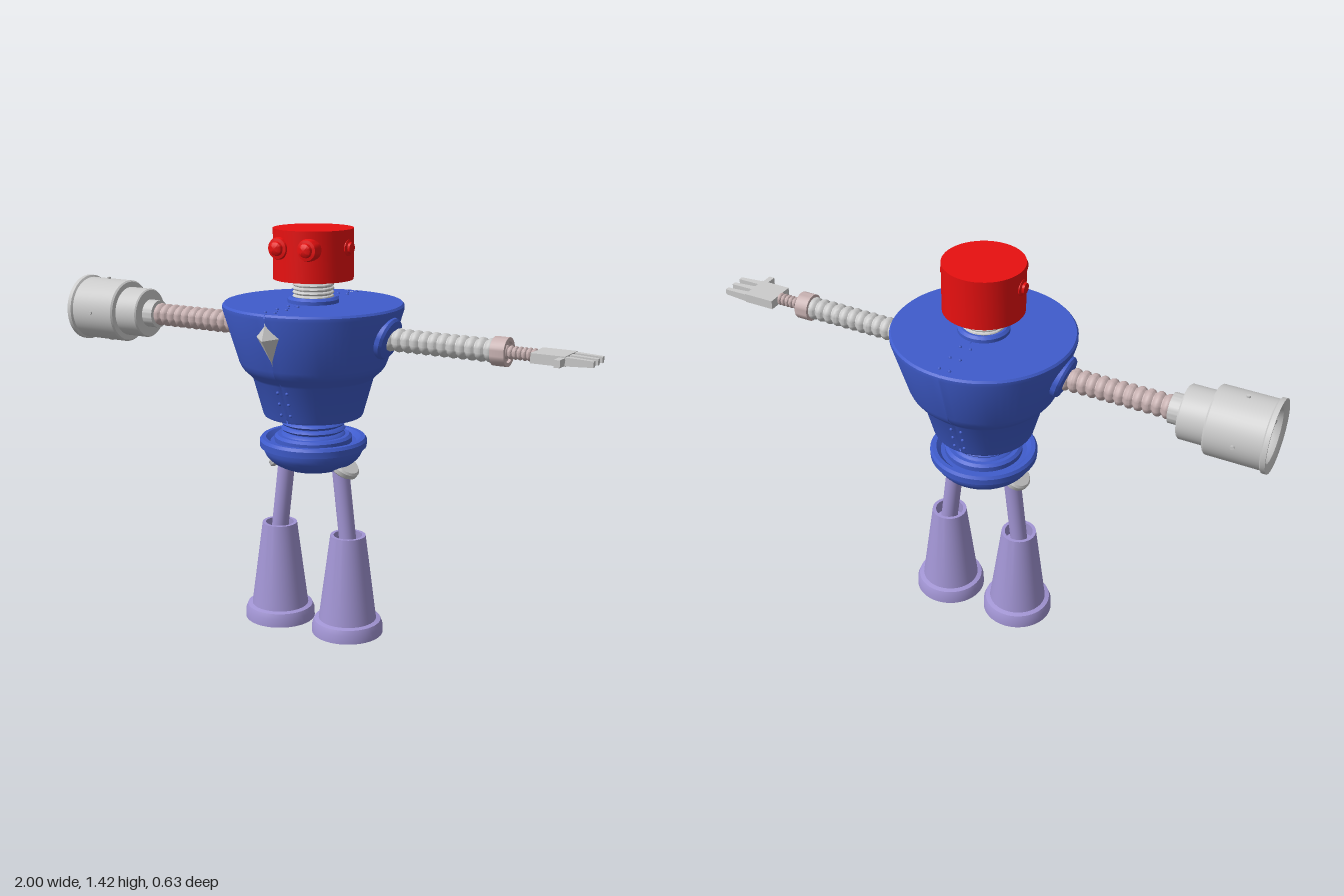
import * as THREE from 'three';
import { toCreasedNormals } from 'three/addons/utils/BufferGeometryUtils.js';

const mat = (color, side = THREE.FrontSide) => new THREE.MeshStandardMaterial({ color, side });
const BLUE = mat(0x3f5ccc), RED = mat(0xe81010), PURPLE = mat(0xa295d4);
const PINK = mat(0xc8b2b2), GREY = mat(0xcccccc);

function add(parent, name, geometry, material, x = 0, y = 0, z = 0) {
  const mesh = new THREE.Mesh(geometry, material);
  mesh.name = name;
  mesh.position.set(x, y, z);
  parent.add(mesh);
  return mesh;
}

// Turned part: [radius, height] pairs, bottom to top on the outside
function turned(profile, segments = 48, start = 0, length = Math.PI * 2) {
  const pts = profile.map(([r, y]) => new THREE.Vector2(r, y));
  return toCreasedNormals(new THREE.LatheGeometry(pts, segments, start, length), 0.6);
}

// Bellows tube from y0 to y1
function ribbed(r, depth, y0, y1, count) {
  const p = [[0, y0]], step = (y1 - y0) / count;
  for (let i = 0; i < count; i++) {
    const y = y0 + i * step;
    p.push([r - depth, y], [r - depth * 0.25, y + step * 0.2], [r, y + step * 0.45],
      [r - depth * 0.25, y + step * 0.7], [r - depth, y + step * 0.9]);
  }
  p.push([r - depth, y1], [0, y1]);
  return turned(p, 28);
}

function addHead(root) {
  const head = new THREE.Group();
  head.name = 'head';
  root.add(head);
  add(head, 'skull', turned([[0, 1.25], [0.136, 1.25], [0.136, 1.42], [0, 1.42]]), RED);
  const eye = turned([[0, 0], [0.037, 0], [0.037, 0.028], [0.034, 0.036], [0.024, 0.038],
    [0.022, 0.048], [0.013, 0.054], [0, 0.056]], 28);
  const ear = turned([[0, 0], [0.027, 0], [0.027, 0.015], [0.019, 0.019], [0.018, 0.027], [0, 0.031]], 28);
  for (const s of [-1, 1]) {
    add(head, 'eye', eye, RED, s * 0.056, 1.36, 0.104).rotation.x = Math.PI / 2;
    add(head, 'ear', ear, RED, s * 0.122, 1.36, 0).rotation.z = -s * Math.PI / 2;
  }
  add(root, 'neckBase', turned([[0, 1.16], [0.087, 1.16], [0.087, 1.182], [0.078, 1.19], [0, 1.19]]), BLUE);
  add(root, 'neck', ribbed(0.071, 0.008, 1.185, 1.252, 5), GREY);
}

function addTorso(root) {
  const torso = new THREE.Group();
  torso.name = 'torso';
  root.add(torso);
  const profile = [[0, 0.78], [0.168, 0.78], [0.172, 0.788], [0.206, 0.912], [0.212, 0.92],
    [0.236, 0.942], [0.246, 0.956], [0.253, 0.972], [0.307, 1.15], [0.307, 1.163], [0.301, 1.17], [0, 1.17]];
  // Two half shells with a narrow seam, closed by an inner core
  for (const s of [-1, 1]) {
    add(torso, 'shell', turned(profile, 36, s > 0 ? 0 : Math.PI, Math.PI), BLUE, s * 0.002, 0, 0);
  }
  const core = profile.map(([r, y]) => [Math.max(0, r - 0.008), 0.975 + (y - 0.975) * 0.96]);
  add(torso, 'core', turned(core), BLUE);

  // Rivets along the seam
  const rivet = new THREE.SphereGeometry(0.006, 8, 6);
  for (const sx of [-1, 1]) for (const sz of [-1, 1]) {
    for (const z of [0.13, 0.2, 0.27]) add(torso, 'rivet', rivet, BLUE, sx * 0.018, 1.17, sz * z);
    for (const y of [0.81, 0.85, 0.89]) {
      add(torso, 'rivet', rivet, BLUE, sx * 0.018, y, sz * (0.172 + (y - 0.788) * 0.274));
    }
  }

  // Faceted kite badge on the chest
  const rim = [[0, 1.145, 0.298], [-0.06, 1.095, 0.272], [0, 0.985, 0.25], [0.06, 1.095, 0.272]];
  const apex = [0, 1.085, 0.322], verts = [];
  rim.forEach((p, i) => verts.push(...p, ...rim[(i + 1) % 4], ...apex));
  const badge = new THREE.BufferGeometry();
  badge.setAttribute('position', new THREE.Float32BufferAttribute(verts, 3));
  badge.computeVertexNormals();
  add(torso, 'chestBadge', badge, mat(0xcccccc, THREE.DoubleSide));

  // Shoulder sockets lie flat on the sloping sides
  const socket = turned([[0, -0.03], [0.073, -0.03], [0.073, 0.012], [0.066, 0.02], [0.05, 0.024], [0, 0.024]]);
  for (const s of [-1, 1]) {
    add(torso, 'shoulder', socket, BLUE, s * 0.281, 1.073, 0).rotation.z = -s * (Math.PI / 2 + 0.29);
  }
}

function addPelvis(root) {
  add(root, 'waist', ribbed(0.112, 0.016, 0.7, 0.785, 4), BLUE);
  add(root, 'waistBase', turned([[0, 0.675], [0.135, 0.675], [0.135, 0.702], [0.125, 0.71], [0, 0.71]]), BLUE);
  const bowl = [];
  for (let i = 0; i <= 10; i++) {
    const a = (i / 10) * Math.PI / 2;
    bowl.push([0.174 * Math.sin(a), 0.665 - 0.09 * Math.cos(a)]);
  }
  bowl.push([0.186, 0.668], [0.187, 0.69], [0.18, 0.7], [0.165, 0.7], [0.15, 0.685], [0, 0.685]);
  add(root, 'pelvis', turned(bowl), BLUE);
}

function addLeg(root, s) {
  const leg = new THREE.Group();
  leg.name = s > 0 ? 'leftLeg' : 'rightLeg';
  root.add(leg);
  const hip = add(leg, 'hipRing', turned([[0, -0.014], [0.05, -0.014], [0.057, -0.007], [0.057, 0.008],
    [0.05, 0.014], [0.036, 0.014], [0.034, 0.004], [0, 0.004]], 32), GREY, s * 0.123, 0.608, 0);
  hip.rotation.z = s * (Math.PI - 0.61);

  const top = new THREE.Vector3(s * 0.106, 0.625, 0), end = new THREE.Vector3(s * 0.145, 0.3, 0);
  const axis = top.clone().sub(end);
  const thigh = add(leg, 'thigh', new THREE.CylinderGeometry(0.03, 0.03, axis.length(), 28), PURPLE);
  thigh.position.copy(top).add(end).multiplyScalar(0.5);
  thigh.quaternion.setFromUnitVectors(new THREE.Vector3(0, 1, 0), axis.normalize());

  // Flared boot with an open top
  add(leg, 'boot', turned([[0, 0], [0.126, 0], [0.125, 0.03], [0.118, 0.048], [0.102, 0.052], [0.062, 0.36],
    [0.05, 0.36], [0.052, 0.31], [0, 0.31]]), PURPLE, s * 0.141, 0, 0);
}

function addHandArm(root) {
  const arm = new THREE.Group();
  arm.name = 'leftArm';
  arm.position.y = 1.07;
  root.add(arm);
  const along = (name, geo, m) => { add(arm, name, geo, m).rotation.z = -Math.PI / 2; };
  along('sleeve', ribbed(0.04, 0.009, 0.285, 0.675, 12), GREY);
  along('cuff', turned([[0, 0.667], [0.047, 0.667], [0.047, 0.715], [0.034, 0.715], [0.034, 0.705], [0, 0.705]], 32), PINK);
  along('wrist', ribbed(0.022, 0.006, 0.7, 0.81, 7), PINK);

  // Flat hand with tapering fingers
  add(arm, 'palm', new THREE.BoxGeometry(0.112, 0.032, 0.106), GREY, 0.862, 0, 0);
  const finger = new THREE.BoxGeometry(0.095, 0.028, 0.024);
  const pos = finger.attributes.position;
  for (let i = 0; i < pos.count; i++) {
    if (pos.getX(i) > 0) pos.setXYZ(i, pos.getX(i), pos.getY(i) * 0.7, pos.getZ(i) * 0.65);
  }
  finger.computeVertexNormals();
  for (const z of [-0.041, 0, 0.041]) add(arm, 'finger', finger, GREY, 0.958, 0, z);
  add(arm, 'thumb', new THREE.BoxGeometry(0.02, 0.024, 0.05), GREY, 0.907, 0, 0.07);
}

function addCannonArm(root) {
  const arm = new THREE.Group();
  arm.name = 'rightArm';
  arm.position.y = 1.07;
  root.add(arm);
  const along = (name, geo, m) => { add(arm, name, geo, m).rotation.z = Math.PI / 2; };
  along('sleeve', ribbed(0.041, 0.009, 0.285, 0.665, 12), PINK);
  // Stepped barrel with a hollow mouth
  along('barrel', turned([[0, 0.658], [0.05, 0.658], [0.05, 0.7], [0.085, 0.7], [0.089, 0.705], [0.089, 0.792],
    [0.108, 0.792], [0.113, 0.798], [0.113, 0.975], [0.12, 0.98], [0.12, 0.995], [0.114, 0.995],
    [0.09, 0.985], [0.08, 0.965], [0.078, 0.87], [0, 0.87]]), GREY);
  for (let i = 0; i < 4; i++) {
    const a = i * Math.PI / 2;
    const screw = add(arm, 'screw', new THREE.CylinderGeometry(0.007, 0.007, 0.012, 10), GREY,
      -0.89, Math.cos(a) * 0.113, Math.sin(a) * 0.113);
    screw.rotation.x = a;
    add(arm, 'mouthTab', new THREE.BoxGeometry(0.03, 0.02, 0.014), GREY,
      -0.955, Math.cos(a) * 0.074, Math.sin(a) * 0.074).rotation.x = a;
  }
}

export function createModel() {
  const model = new THREE.Group();
  model.name = 'robot';
  const body = new THREE.Group();
  body.name = 'body';
  body.position.set(-0.006, 0, -0.005);
  model.add(body);
  addHead(body);
  addTorso(body);
  addPelvis(body);
  addLeg(body, -1);
  addLeg(body, 1);
  addHandArm(body);
  addCannonArm(body);
  return model;
}
